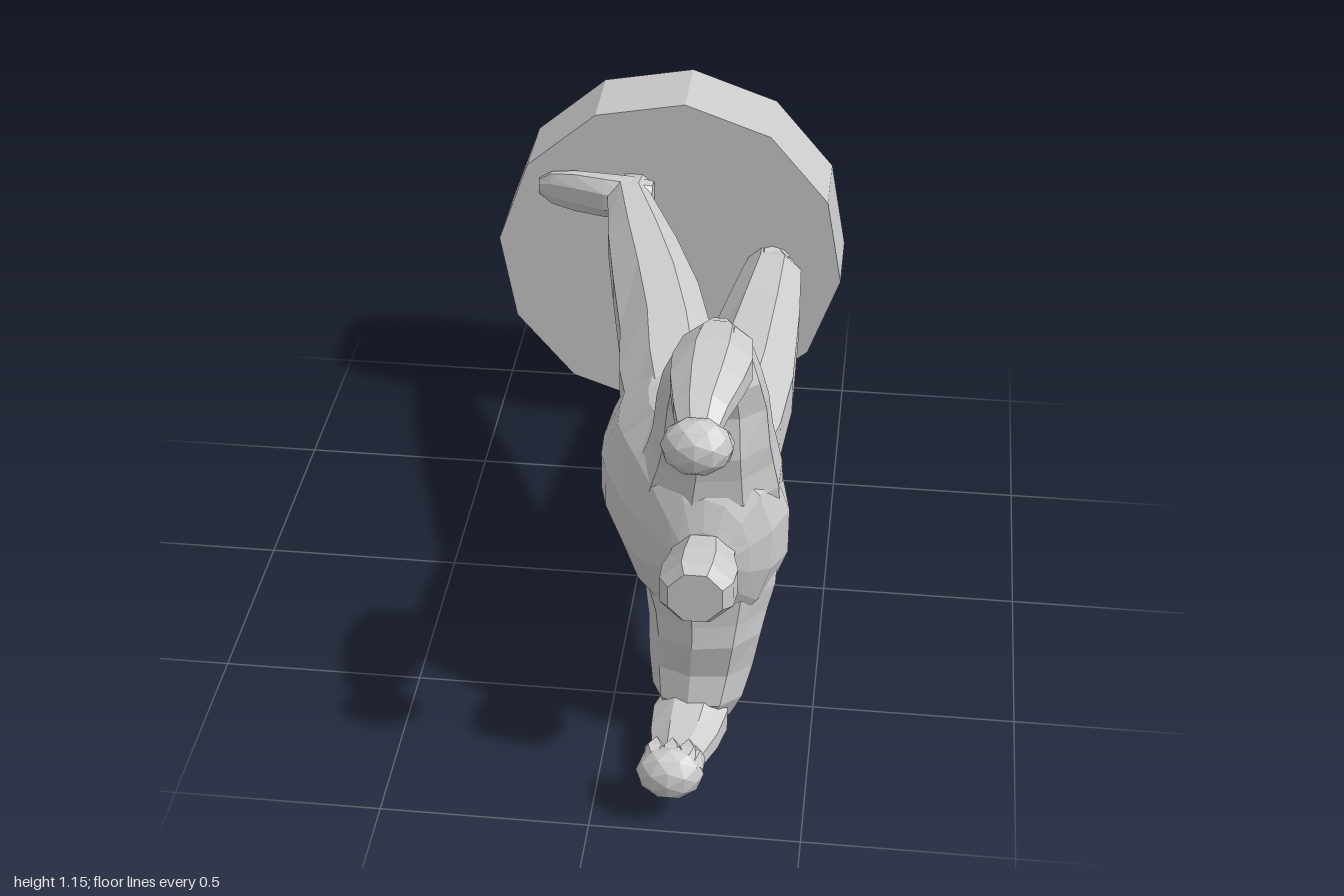
import * as THREE from 'three';

const material = new THREE.MeshStandardMaterial({ color: 0xcccccc, flatShading: true });

// Closed loft through elliptical rings. Row: [t, cx, c2, rx, r2], t along 'z' (c2 is y) or 'y' (c2 is z).
function loft(name, axis, rows, sides, phase = 0) {
  const rings = [...rows].sort((a, b) => a[0] - b[0]);
  const pos = [], idx = [];
  const put = (t, x, c) => (axis === 'z' ? pos.push(x, c, t) : pos.push(x, t, c));
  rings.forEach(([t, cx, c2, rx, r2]) => {
    for (let i = 0; i < sides; i++) {
      const a = ((i + phase) / sides) * Math.PI * 2;
      const s = axis === 'z' ? Math.sin(a) : -Math.sin(a);
      put(t, cx + rx * Math.cos(a), c2 + r2 * s);
    }
  });
  for (let r = 0; r < rings.length - 1; r++) {
    for (let i = 0; i < sides; i++) {
      const j = (i + 1) % sides;
      const a = r * sides + i, b = r * sides + j;
      idx.push(a, b, b + sides, a, b + sides, a + sides);
    }
  }
  // End caps
  const first = rings[0], last = rings[rings.length - 1];
  const c0 = rings.length * sides, top = (rings.length - 1) * sides;
  put(first[0], first[1], first[2]);
  put(last[0], last[1], last[2]);
  for (let i = 0; i < sides; i++) {
    const j = (i + 1) % sides;
    idx.push(c0, j, i, c0 + 1, top + i, top + j);
  }
  const g = new THREE.BufferGeometry();
  g.setAttribute('position', new THREE.Float32BufferAttribute(pos, 3));
  g.setIndex(idx);
  const flat = g.toNonIndexed();
  flat.computeVertexNormals();
  const mesh = new THREE.Mesh(flat, material);
  mesh.name = name;
  return mesh;
}

// One flexed arm; side = 1 reaches to +y, -1 is mirrored about the body's middle
function makeArm(side) {
  const arm = new THREE.Group();
  arm.name = side > 0 ? 'upperSideArm' : 'lowerSideArm';
  const my = (y) => 0.58 + side * (y - 0.58);
  const dx = side > 0 ? 0 : -0.03;

  // Shoulder sinks deep into the chest so the two blend
  const shoulder = [
    [0.62, 0.225, 0.5, 0.19, 0.17],
    [0.72, 0.235, 0.525, 0.175, 0.165],
    [0.79, 0.24, 0.535, 0.155, 0.155],
    [0.85, 0.243, 0.56, 0.143, 0.135],
    [0.95, 0.243, 0.575, 0.132, 0.098],
    [1.03, 0.243, 0.6, 0.115, 0.09],
    [1.1, 0.247, 0.595, 0.085, 0.065],
    [1.148, 0.25, 0.6, 0.04, 0.04],
  ].map(([y, x, ...r]) => [my(y), x + dx * Math.max(0, (y - 0.75) / 0.4), ...r]);
  arm.add(loft('upperArm', 'y', shoulder, 9, 0.5));

  const forearm = [
    [0.54, 0.25, 1.11, 0.04, 0.035],
    [0.58, 0.25, 1.09, 0.085, 0.065],
    [0.66, 0.245, 1.085, 0.098, 0.075],
    [0.74, 0.24, 1.085, 0.088, 0.06],
    [0.83, 0.235, 1.075, 0.065, 0.048],
    [0.89, 0.235, 1.05, 0.045, 0.035],
  ].map(([z, x, y, ...r]) => [z, x + dx * (0.6 + z), my(y), ...r]);
  arm.add(loft('forearm', 'z', forearm, 8, 0.5));

  // Clenched hand: rounded palm, folded fingers and a thumb
  const hand = new THREE.Group();
  hand.name = 'fist';
  const blob = (name, detail, x, y, z, rx, ry, rz) => {
    const m = new THREE.Mesh(new THREE.IcosahedronGeometry(1, detail), material);
    m.name = name;
    m.scale.set(rx, ry, rz);
    m.position.set(x, side * y, z);
    hand.add(m);
  };
  blob('palm', 1, 0, 0.003, 0.005, 0.08, 0.067, 0.06);
  for (let i = 0; i < 3; i++) blob('finger', 0, -0.038 + i * 0.038, -0.028, -0.018, 0.03, 0.036, 0.05);
  blob('thumb', 0, 0.055, -0.01, -0.02, 0.028, 0.045, 0.04);
  hand.position.set(side > 0 ? 0.235 : 0.185, side > 0 ? 1.035 : 0.138, side > 0 ? 0.91 : 0.932);
  arm.add(hand);
  return arm;
}

// Flat-soled foot, toe along local +y, then turned and placed on the base
function makeFoot(name, x, y, angle, scale) {
  const rows = [
    [-0.07, 0, -0.735, 0.045, 0.04],
    [0.0, 0, -0.72, 0.064, 0.055],
    [0.07, 0, -0.727, 0.066, 0.047],
    [0.16, 0, -0.743, 0.064, 0.032],
    [0.23, 0, -0.756, 0.052, 0.02],
    [0.267, 0, -0.763, 0.025, 0.011],
  ];
  const foot = loft(name, 'y', rows, 8, 0.5);
  foot.rotation.z = angle;
  foot.scale.set(scale, scale, 1);
  foot.position.set(x, y, 0);
  return foot;
}

export function createModel() {
  const model = new THREE.Group();
  model.name = 'flexingFigure';

  // Twelve-sided base disc, standing on its rim
  model.add(loft('base', 'z', [
    [-1, 0, 0.55, 0.487, 0.487],
    [-0.77, 0, 0.55, 0.487, 0.487],
  ], 12, 85.3 / 30));

  // Torso from hips to neck
  model.add(loft('torso', 'z', [
    [-0.1, 0.19, 0.59, 0.1, 0.09],
    [-0.03, 0.16, 0.56, 0.17, 0.18],
    [0.08, 0.147, 0.54, 0.203, 0.218],
    [0.2, 0.14, 0.535, 0.207, 0.218],
    [0.31, 0.158, 0.55, 0.218, 0.23],
    [0.41, 0.185, 0.57, 0.222, 0.25],
    [0.55, 0.225, 0.575, 0.205, 0.27],
    [0.64, 0.235, 0.58, 0.16, 0.24],
    [0.685, 0.235, 0.58, 0.11, 0.16],
    [0.71, 0.235, 0.585, 0.07, 0.08],
  ], 14, 0.5));

  // Head
  model.add(loft('head', 'z', [
    [0.66, 0.24, 0.585, 0.075, 0.08],
    [0.72, 0.235, 0.585, 0.08, 0.078],
    [0.78, 0.235, 0.585, 0.095, 0.09],
    [0.835, 0.232, 0.588, 0.092, 0.088],
    [0.864, 0.232, 0.59, 0.068, 0.07],
  ], 8, 0.5));

  model.add(makeArm(1), makeArm(-1));

  // Legs, spread in a stride
  model.add(loft('forwardLeg', 'z', [
    [-0.77, -0.1, 0.765, 0.062, 0.055],
    [-0.7, -0.105, 0.768, 0.066, 0.062],
    [-0.5, -0.047, 0.742, 0.1, 0.085],
    [-0.3, 0.012, 0.712, 0.122, 0.102],
    [-0.1, 0.062, 0.67, 0.13, 0.125],
    [0.05, 0.09, 0.635, 0.142, 0.13],
    [0.2, 0.12, 0.61, 0.13, 0.13],
  ], 8, 0.5));
  model.add(loft('rearLeg', 'z', [
    [-0.77, 0.285, 0.55, 0.066, 0.06],
    [-0.71, 0.295, 0.545, 0.088, 0.08],
    [-0.5, 0.28, 0.52, 0.114, 0.104],
    [-0.2, 0.257, 0.485, 0.142, 0.143],
    [0.0, 0.235, 0.463, 0.145, 0.152],
    [0.12, 0.21, 0.465, 0.145, 0.148],
    [0.27, 0.19, 0.48, 0.13, 0.13],
  ], 8, 0.5));
  model.add(makeFoot('forwardFoot', -0.11, 0.768, Math.PI / 2, 0.96));
  model.add(makeFoot('rearFoot', 0.29, 0.55, Math.PI - 0.25, 0.86));

  return model;
}
